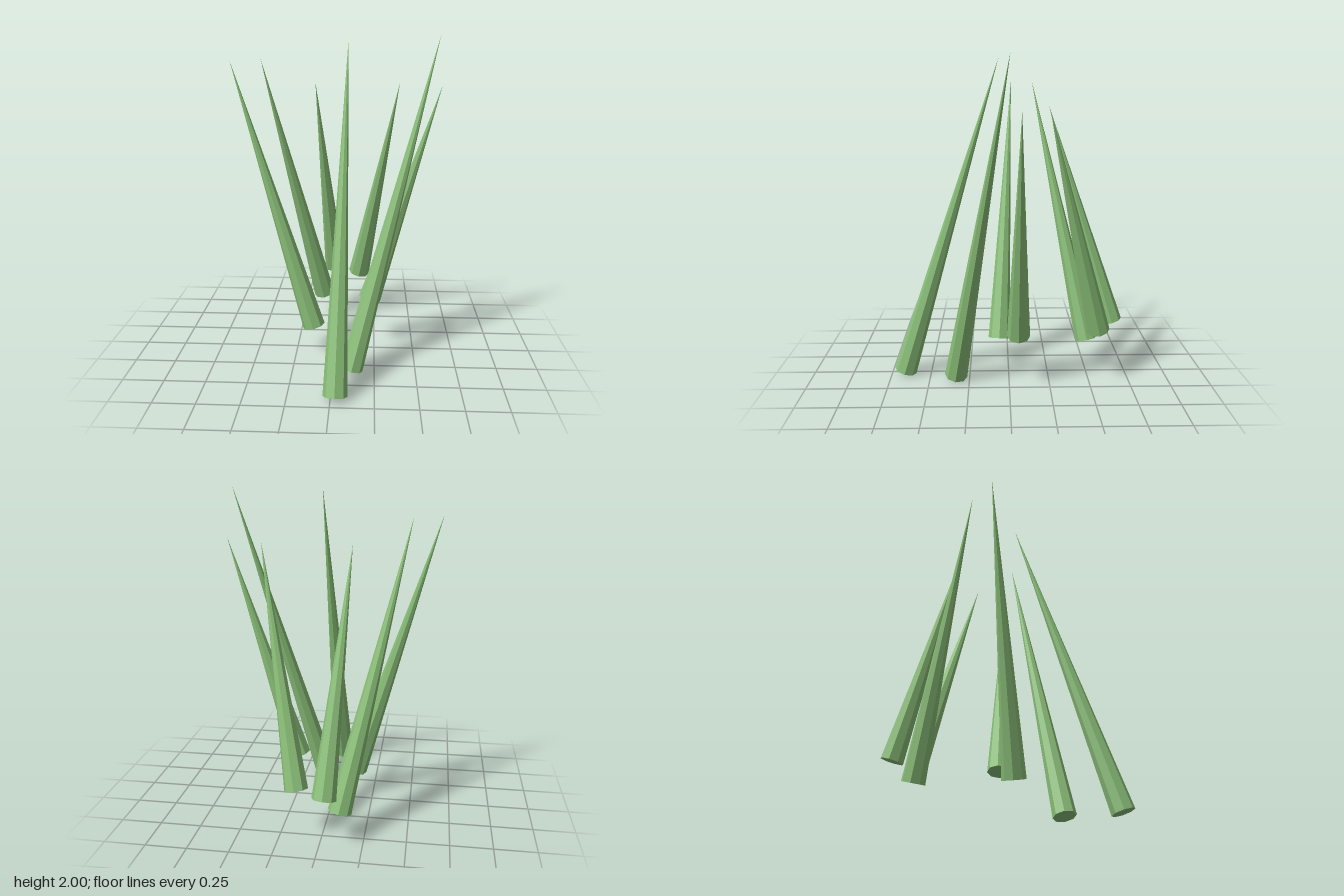
import * as THREE from 'three';

// Each spike: centre of its base, then its tip
const SPIKES = [
  [[0.027, 0.023, 0.663], [0.077, 1.99, 0.06]],
  [[0.11, 0.023, 0.335], [0.615, 2.0, 0.003]],
  [[0.217, 0.323, -0.056], [0.64, 1.7, -0.057]],
  [[0.14, 0.325, -0.556], [0.39, 1.7, -0.222]],
  [[-0.038, 0.328, -0.66], [-0.143, 1.7, -0.255]],
  [[-0.107, 0.177, -0.512], [-0.475, 1.85, -0.163]],
  [[-0.138, 0.177, 0.06], [-0.643, 1.85, -0.028]],
];
const RADIUS = 0.071;
const UP = new THREE.Vector3(0, 1, 0);

export function createModel() {
  const group = new THREE.Group();
  group.name = 'spikyGrass';
  const leafGreen = new THREE.MeshStandardMaterial({ color: 0x8abf78, flatShading: true });
  leafGreen.name = 'leafGreen';

  // Eight-sided cones leaning from base to tip
  SPIKES.forEach(([b, t], i) => {
    const base = new THREE.Vector3(...b);
    const axis = new THREE.Vector3(...t).sub(base);
    const length = axis.length();
    const geometry = new THREE.ConeGeometry(RADIUS, length, 8).translate(0, length / 2, 0);
    const blade = new THREE.Mesh(geometry, leafGreen);
    blade.name = `blade${i + 1}`;
    blade.position.copy(base);
    blade.quaternion.setFromUnitVectors(UP, axis.normalize());
    group.add(blade);
  });
  return group;
}
